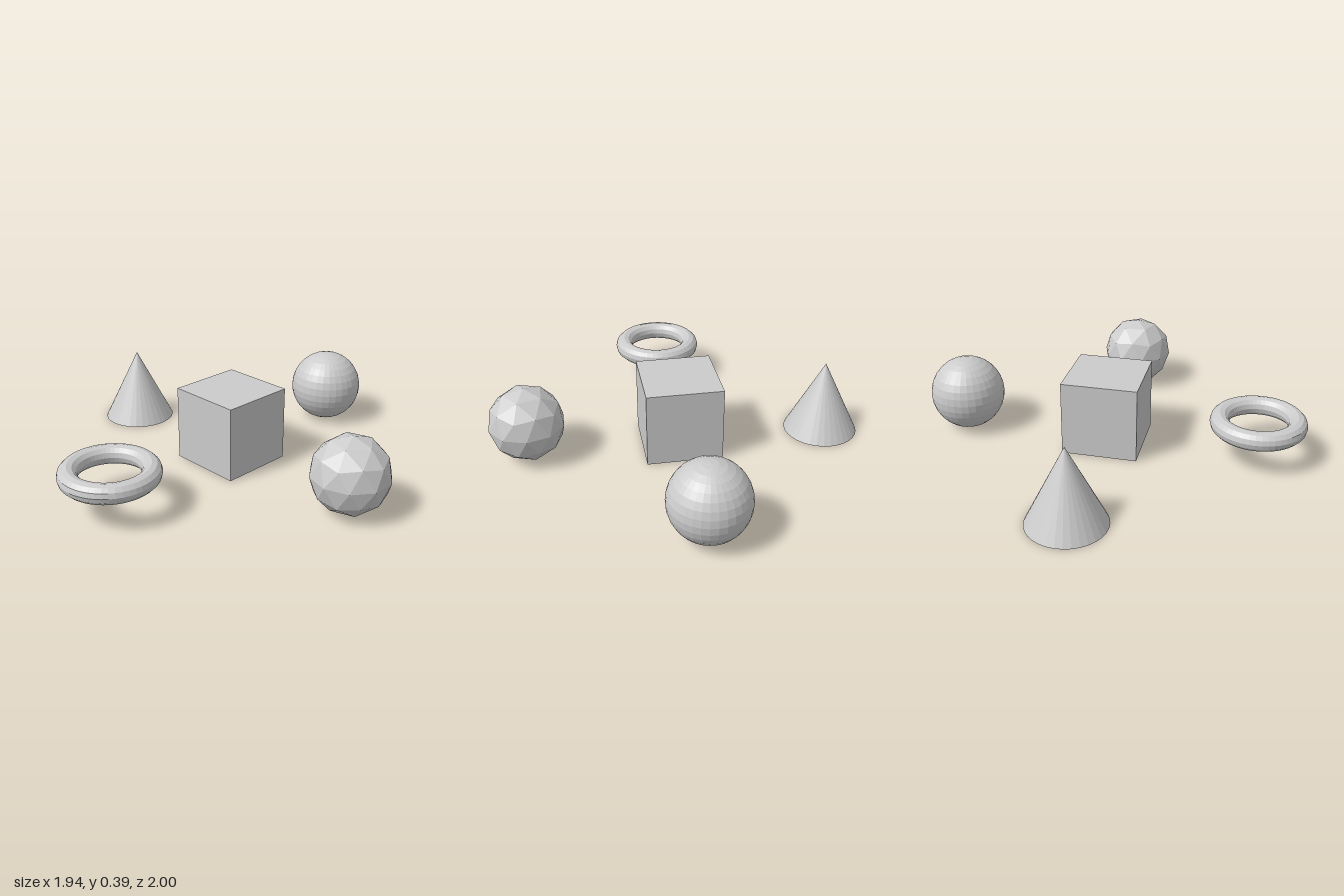
import * as THREE from 'three';

export function createModel() {
  const model = new THREE.Group();
  const material = new THREE.MeshStandardMaterial({ color: 0xcccccc, flatShading: true });
  const r = 2 / 10.25; // radius shared by all the solids
  const gap = 4 * r; // distance of the outer solids from the cube
  const cx = 0.005, cz = -0.0244; // cube centre

  // Every solid is centred at height r
  const add = (name, geometry, dx, dz) => {
    const mesh = new THREE.Mesh(geometry, material);
    mesh.name = name;
    mesh.position.set(cx + dx, r, cz + dz);
    model.add(mesh);
  };

  add('cube', new THREE.BoxGeometry(2 * r, 2 * r, 2 * r), 0, 0);
  add('cone', new THREE.ConeGeometry(r, 2 * r, 32), -gap, 0);
  add('sphere', new THREE.SphereGeometry(r, 32, 16), 0, -gap);
  // Ring lying flat
  add('torus', new THREE.TorusGeometry(r, r / 4, 12, 48).rotateX(-Math.PI / 2), 0, gap);
  // Faceted ball, turned so that a corner points straight up
  const tilt = Math.atan(2 / (1 + Math.sqrt(5)));
  add('icosphere', new THREE.IcosahedronGeometry(r, 1).rotateZ(-tilt), gap, 0);

  return model;
}
